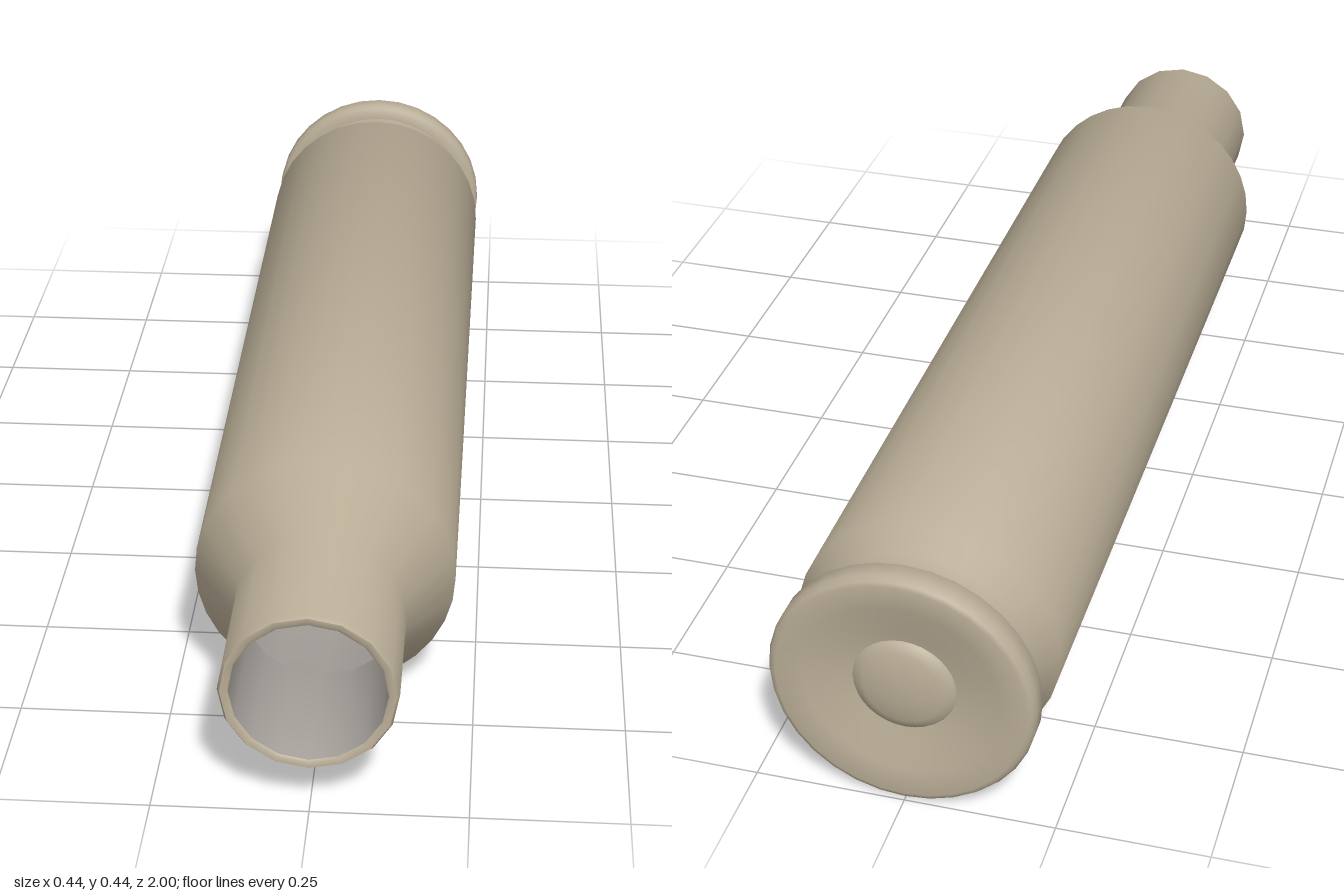
import * as THREE from 'three';
import { toCreasedNormals } from 'three/addons/utils/BufferGeometryUtils.js';

const AXIS_HEIGHT = 0.22;

// Turns a [radius, z] profile about the long axis, smoothing shallow edges only
function turned(name, profile, sides, material, reshape) {
  let geometry = new THREE.LatheGeometry(profile.map(([r, z]) => new THREE.Vector2(r, z)), sides);
  if (reshape) reshape(geometry, profile.length);
  geometry = toCreasedNormals(geometry, 0.8);
  geometry.rotateX(Math.PI / 2);
  const mesh = new THREE.Mesh(geometry, material);
  mesh.name = name;
  mesh.position.y = AXIS_HEIGHT;
  return mesh;
}

// Pulls every second neck vertex onto its chord, so the neck has 16 sides and the body 32
function halveNeckSides(geometry, rows) {
  const p = geometry.attributes.position;
  const chord = Math.cos(Math.PI / 16);
  for (let i = 0; i < p.count; i++) {
    const column = Math.floor(i / rows);
    if (column % 2 === 1 && p.getY(i) > 0.7) p.setXYZ(i, p.getX(i) * chord, p.getY(i), p.getZ(i) * chord);
  }
}

export function createModel() {
  const brass = new THREE.MeshStandardMaterial({ color: 0xb9ad96 });
  brass.name = 'dull brass';
  const innerGrey = new THREE.MeshStandardMaterial({ color: 0xaaa59f });
  innerGrey.name = 'inner grey';

  const model = new THREE.Group();
  model.name = 'cartridgeCase';

  // Dished base, rim, extractor groove, body, shoulder, neck and lip
  model.add(turned('caseShell', [
    [0.085, -0.975], [0.11, -0.98], [0.16, -0.993], [0.205, -1], [0.213, -0.997],
    [0.219, -0.987], [0.219, -0.957], [0.213, -0.95], [0.19, -0.948],
    [0.188, -0.89], [0.219, -0.853], [0.215, 0.65], [0.14, 0.77],
    [0.14, 0.993], [0.136, 1], [0.126, 1], [0.123, 0.997],
  ], 32, brass, halveNeckSides));

  // Domed primer set into the base
  model.add(turned('primer', [
    [0, -0.994], [0.035, -0.992], [0.065, -0.987], [0.082, -0.98], [0.088, -0.97],
  ], 32, brass));

  // Hollow inside, ending in a rounded floor
  model.add(turned('caseInterior', [
    [0.123, 0.997], [0.123, 0.765], [0.195, 0.645], [0.195, -0.76],
    [0.175, -0.81], [0.13, -0.845], [0.07, -0.87], [0, -0.88],
  ], 16, innerGrey));

  return model;
}
